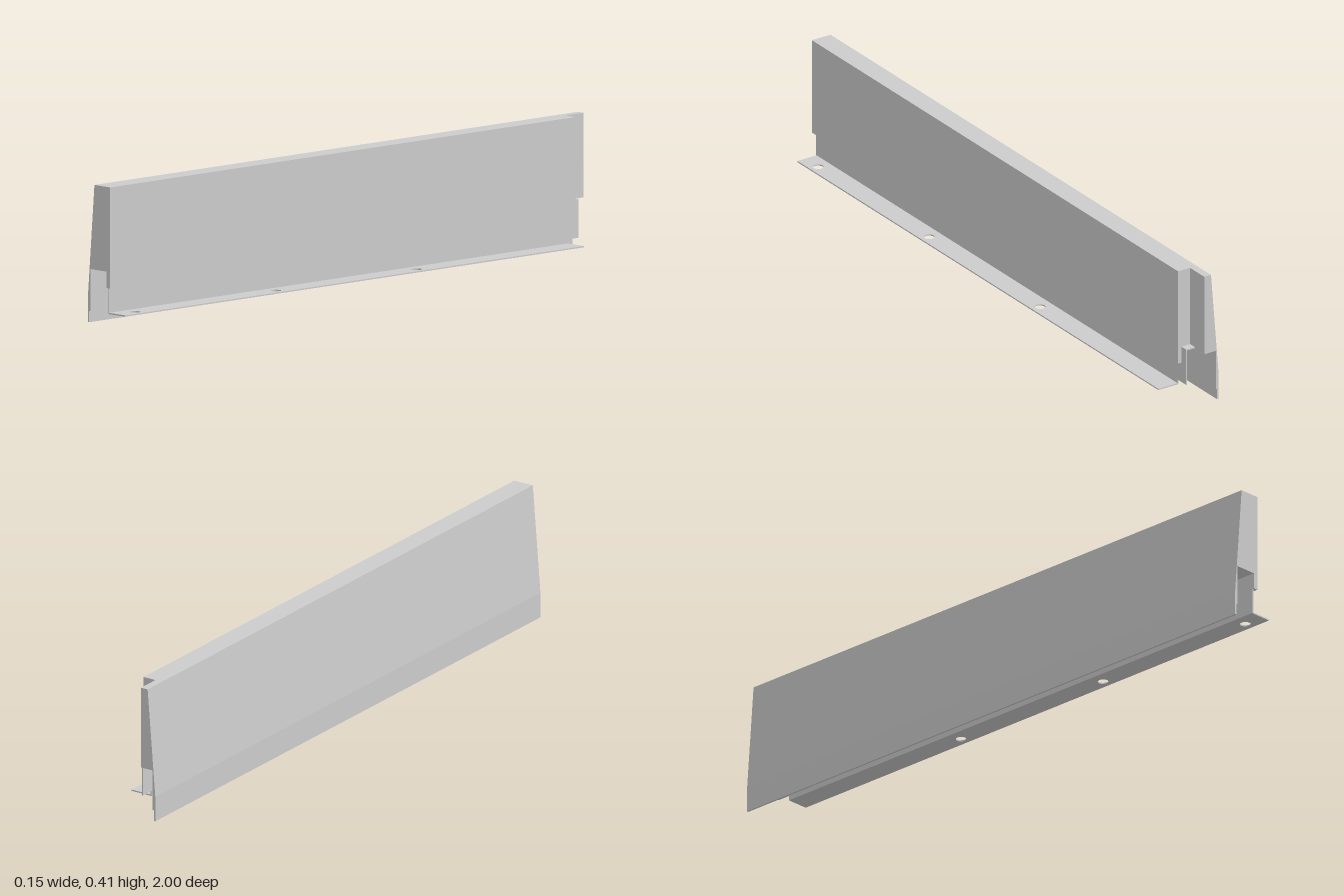
import * as THREE from 'three';

const material = new THREE.MeshStandardMaterial({ color: 0xcccccc, flatShading: true });

const shapeOf = (points) => new THREE.Shape(points.map(([x, y]) => new THREE.Vector2(x, y)));

const extrude = (shape, depth) =>
  new THREE.ExtrudeGeometry(shape, { depth, bevelEnabled: false, curveSegments: 24 });

function addPart(group, name, geometry) {
  const mesh = new THREE.Mesh(geometry, material);
  mesh.name = name;
  group.add(mesh);
}

export function createModel() {
  const group = new THREE.Group();
  group.name = 'drawerSide';

  // Leaning outer face with its stepped lower lip, shared by both body sections
  const outerWall = [
    [-0.066, 0.16], [-0.066, 0.034], [-0.071, 0.034], [-0.071, 0],
    [-0.0765, 0], [-0.0765, 0.078], [-0.049, 0.414],
  ];

  // Long body, open underneath
  const body = shapeOf([...outerWall, [0.018, 0.414], [0.018, 0.111], [0.003, 0.111], [0.003, 0.16]].reverse());
  addPart(group, 'body', extrude(body, 1.925).translate(0, 0, -0.925));

  // Narrower rear end beside the corner notch
  const rear = shapeOf([...outerWall, [-0.025, 0.414], [-0.025, 0.16]].reverse());
  addPart(group, 'rearEnd', extrude(rear, 0.075).translate(0, 0, -1));

  // Thin ledge at the foot of the notch
  addPart(group, 'notchLedge',
    new THREE.BoxGeometry(0.031, 0.004, 0.025).translate(-0.0095, 0.162, -0.9375));

  // Thin upright web, drawn in z and y, stepped at the rear
  const web = shapeOf([
    [0.995, 0.032], [0.995, 0.163], [-0.95, 0.163], [-0.95, 0.048], [-0.905, 0.048], [-0.905, 0.032],
  ]);
  addPart(group, 'web', extrude(web, 0.003).rotateY(-Math.PI / 2).translate(0.006, 0, 0));

  // Flat mounting flange with three screw holes, drawn in x and z
  const flange = shapeOf([[0.006, -0.905], [0.075, -0.905], [0.075, 0.993], [0.006, 0.993]]);
  for (const z of [-0.24, 0.342, 0.925]) {
    flange.holes.push(new THREE.Path().absarc(0.046, z, 0.016, 0, Math.PI * 2, true));
  }
  addPart(group, 'flange', extrude(flange, 0.004).rotateX(Math.PI / 2).translate(0, 0.036, 0));

  return group;
}
